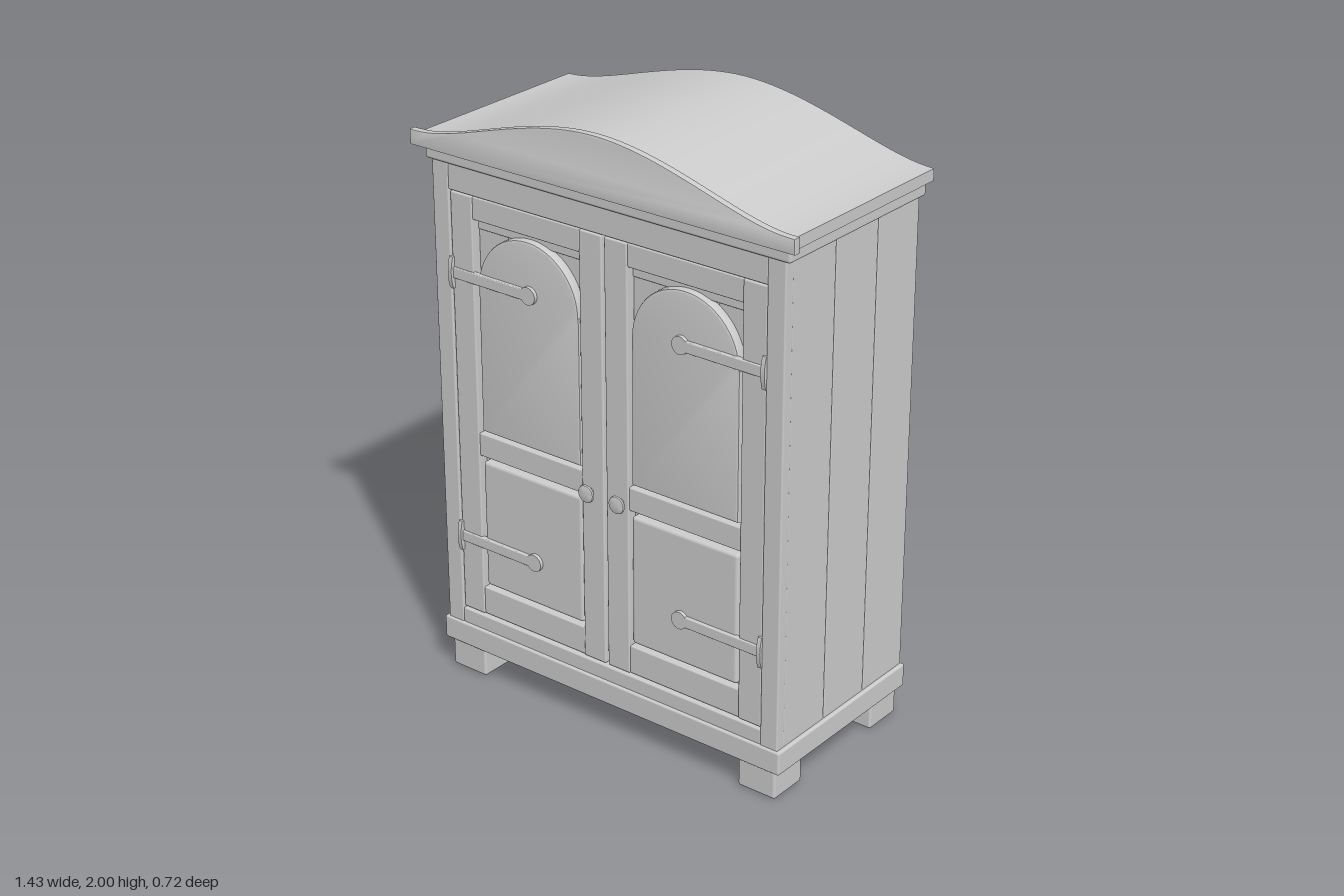
import * as THREE from 'three';
import { toCreasedNormals } from 'three/addons/utils/BufferGeometryUtils.js';
import { RoundedBoxGeometry } from 'three/addons/geometries/RoundedBoxGeometry.js';

export function createModel() {
  const root = new THREE.Group();
  root.name = 'wardrobe';
  const paint = new THREE.MeshStandardMaterial({ color: 0xcccccc });
  paint.name = 'plain grey';

  const add = (name, geometry, parent = root) => {
    const mesh = new THREE.Mesh(geometry, paint);
    mesh.name = name;
    parent.add(mesh);
    return mesh;
  };
  // Softened block given by its limits on each axis
  const block = (name, x0, x1, y0, y1, z0, z1, parent = root, r = 0.005) => {
    const g = new RoundedBoxGeometry(x1 - x0, y1 - y0, z1 - z0, 2, r);
    g.translate((x0 + x1) / 2, (y0 + y1) / 2, (z0 + z1) / 2);
    return add(name, g, parent);
  };
  const extrude = (name, shape, z0, depth, bevel = 0, parent = root) => {
    const g = new THREE.ExtrudeGeometry(shape, {
      depth: depth - 2 * bevel, curveSegments: 28, steps: 1,
      bevelEnabled: bevel > 0, bevelSize: bevel, bevelThickness: bevel,
      bevelOffset: -bevel, bevelSegments: 2,
    });
    g.translate(0, 0, z0 + bevel);
    return add(name, toCreasedNormals(g, 0.5), parent);
  };

  // Feet, plinth and cornice moulding
  for (const s of [-1, 1]) {
    for (const z of [0.2475, -0.2625]) {
      block('foot', s * 0.585 - 0.07, s * 0.585 + 0.07, 0.005, 0.105, z - 0.07, z + 0.07, root, 0.009);
    }
  }
  block('plinth', -0.677, 0.677, 0.1, 0.18, -0.345, 0.33, root, 0.007);
  block('corniceMoulding', -0.683, 0.683, 1.768, 1.814, -0.345, 0.33, root, 0.009);

  // Waved roof and the taller board in front of it
  const wave = (halfWidth, flat, bottom, edge, top) => {
    const s = new THREE.Shape();
    const h = top - edge;
    s.moveTo(-halfWidth, bottom);
    s.lineTo(halfWidth, bottom);
    s.lineTo(halfWidth, edge);
    s.lineTo(flat, edge + 0.002);
    s.bezierCurveTo(0.5, edge + h * 0.1, 0.25, top, 0, top);
    s.bezierCurveTo(-0.25, top, -0.5, edge + h * 0.1, -flat, edge + 0.002);
    s.lineTo(-halfWidth, edge);
    s.closePath();
    return s;
  };
  extrude('roof', wave(0.696, 0.665, 1.812, 1.85, 1.988), -0.36, 0.695);
  extrude('frontCrest', wave(0.716, 0.665, 1.812, 1.86, 2.0), 0.333, 0.025, 0.003);

  // Side and back planks
  for (const s of [-1, 1]) {
    const x0 = s > 0 ? 0.625 : -0.664;
    for (let i = 0; i < 3; i++) {
      const z0 = -0.34 + i * 0.21;
      block('sidePlank', x0, x0 + 0.039, 0.17, 1.775, z0, z0 + 0.21);
    }
  }
  for (let i = 0; i < 6; i++) {
    const w = 1.25 / 6, x0 = -0.625 + i * w;
    block('backPlank', x0, x0 + w, 0.17, 1.775, -0.337, -0.305);
  }

  // Face frame
  for (const s of [-1, 1]) {
    block('frontPost', s * 0.632 - 0.032, s * 0.632 + 0.032, 0.17, 1.775, 0.285, 0.322);
  }
  block('frameTopRail', -0.602, 0.602, 1.682, 1.775, 0.285, 0.32);
  block('frameBottomRail', -0.602, 0.602, 0.17, 0.231, 0.285, 0.32);

  // Arched raised panel
  const arch = new THREE.Shape();
  arch.moveTo(0.1, 0.895);
  arch.lineTo(0.5, 0.895);
  arch.lineTo(0.5, 1.385);
  arch.absarc(0.3, 1.385, 0.198, 0, Math.PI, false);
  arch.lineTo(0.1, 0.895);

  // Doors, built in place for each side
  for (const s of [-1, 1]) {
    const door = new THREE.Group();
    door.name = s > 0 ? 'leftDoor' : 'rightDoor';
    root.add(door);
    const part = (name, x0, x1, y0, y1, z0, z1, r) =>
      block(name, s > 0 ? x0 : -x1, s > 0 ? x1 : -x0, y0, y1, z0, z1, door, r);

    part('outerStile', 0.512, 0.598, 0.237, 1.678, 0.28, 0.317);
    part('innerStile', 0.005, 0.091, 0.237, 1.678, 0.28, 0.317);
    part('topRail', 0.089, 0.514, 1.602, 1.678, 0.28, 0.313);
    part('middleRail', 0.089, 0.514, 0.806, 0.886, 0.28, 0.313);
    part('bottomRail', 0.089, 0.514, 0.237, 0.335, 0.28, 0.313);
    part('upperBatten', 0.089, 0.514, 1.565, 1.598, 0.27, 0.288, 0.004);
    for (let i = 0; i < 3; i++) {
      const x0 = 0.02 + i * 0.19;
      part('backingPlank', x0, x0 + 0.19, 0.237, 1.678, 0.255, 0.28, 0.004);
    }
    part('lowerPanel', 0.098, 0.502, 0.346, 0.79, 0.27, 0.312, 0.012);
    const panel = extrude('archedPanel', arch, 0.27, 0.042, 0.008, door);
    if (s < 0) panel.position.x = -0.6;

    // Strap hinges with a round tip and a domed leaf
    for (const y of [0.5, 1.413]) {
      part('hingeStrap', 0.3, 0.598, y - 0.018, y + 0.018, 0.305, 0.324, 0.003);
      const tip = add('hingeTip', new THREE.CylinderGeometry(0.029, 0.029, 0.019, 28), door);
      tip.rotation.x = Math.PI / 2;
      tip.position.set(s * 0.29, y, 0.3145);
      const leaf = new THREE.Shape();
      leaf.moveTo(0.312, -0.052);
      leaf.lineTo(0.325, -0.052);
      leaf.quadraticCurveTo(0.342, 0, 0.325, 0.052);
      leaf.lineTo(0.312, 0.052);
      leaf.closePath();
      const g = new THREE.ExtrudeGeometry(leaf, { depth: 0.014, bevelEnabled: false, curveSegments: 10 });
      g.translate(0, 0, -0.007);
      g.rotateY(-Math.PI / 2);
      const knuckle = add('hingeLeaf', toCreasedNormals(g, 0.5), door);
      knuckle.position.set(s * 0.596, y, 0);
    }

    // Turned knob
    const profile = [[0, 0], [0.016, 0], [0.013, 0.012], [0.027, 0.016], [0.03, 0.02], [0.028, 0.025], [0.021, 0.027], [0, 0.028]]
      .map(([x, y]) => new THREE.Vector2(x, y));
    const knob = add('knob', toCreasedNormals(new THREE.LatheGeometry(profile, 28), 0.6), door);
    knob.rotation.x = Math.PI / 2;
    knob.position.set(s * 0.06, 0.825, 0.314);
  }

  // Feet rest on the ground
  for (const m of root.children) if (m.name === 'foot') m.position.y = -0.005;
  return root;
}
